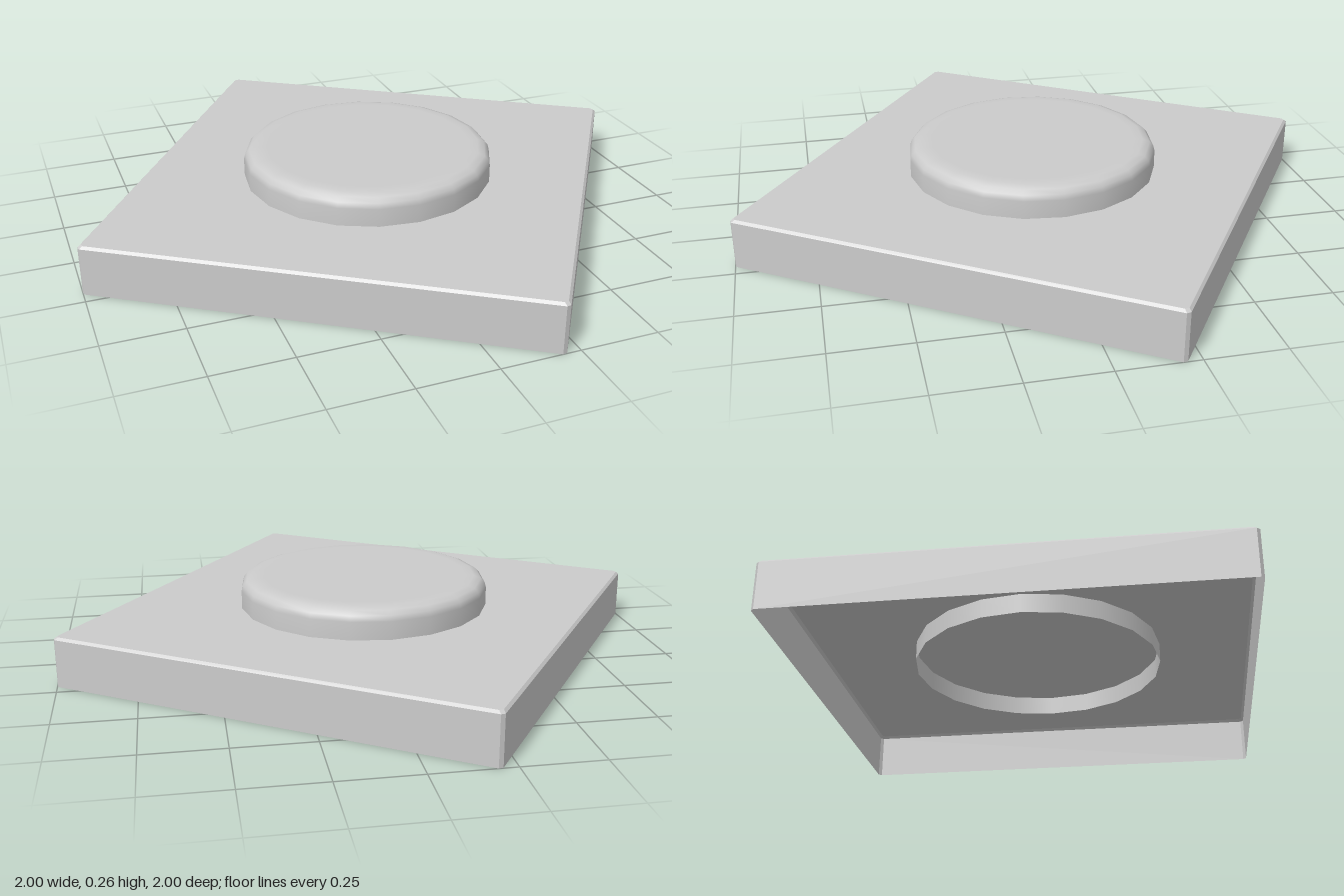
import * as THREE from 'three';

const material = new THREE.MeshStandardMaterial({ color: 0xcccccc, side: THREE.DoubleSide });
const flatMaterial = new THREE.MeshStandardMaterial({ color: 0xcccccc, side: THREE.DoubleSide, flatShading: true });
const TURN = -Math.atan2(0.8, 1.2);

// Square outline with slightly cut corners, running counter-clockwise seen from above
function outline(half, cut) {
  const points = [];
  for (let i = 0; i < 4; i++) {
    for (const [x, z] of [[half - cut, half], [half, half - cut]]) {
      const a = i * Math.PI / 2, c = Math.cos(a), s = Math.sin(a);
      points.push([x * c + z * s, z * c - x * s]);
    }
  }
  return points;
}

// Joins square cross-sections [half width, corner cut, height] into an open-bottomed shell
function shell(sections) {
  const positions = [], index = [], n = 8;
  sections.forEach(([half, cut, y], r) => {
    for (const [x, z] of outline(half, cut)) positions.push(x, y, z);
    if (r === 0) return;
    for (let i = 0; i < n; i++) {
      const a = (r - 1) * n + i, b = (r - 1) * n + (i + 1) % n;
      index.push(a, b, b + n, a, b + n, a + n);
    }
  });
  const geometry = new THREE.BufferGeometry();
  geometry.setAttribute('position', new THREE.Float32BufferAttribute(positions, 3));
  geometry.setIndex(index);
  const flat = geometry.toNonIndexed();
  flat.computeVertexNormals();
  return flat;
}

export function createModel() {
  const group = new THREE.Group();
  group.name = 'buttonPlate';

  // Hollow square base with a small bevel, closed on top
  const base = new THREE.Mesh(shell([
    [0.725, 0.01, 0],
    [0.725, 0.01, 0.155],
    [0.717, 0.01, 0.163],
    [0, 0, 0.163],
  ]), flatMaterial);
  base.name = 'base';
  base.rotation.y = TURN;
  group.add(base);

  // Round button with a soft rim; its open wall reaches through the base
  const profile = [
    [0.413, 0.1], [0.413, 0.16], [0.413, 0.222], [0.408, 0.24],
    [0.395, 0.254], [0.372, 0.262], [0.34, 0.262], [0, 0.262],
  ].map(([r, y]) => new THREE.Vector2(r, y));
  const button = new THREE.Mesh(new THREE.LatheGeometry(profile, 20), material);
  button.name = 'button';
  button.position.set(-0.008, 0, 0.008);
  button.rotation.y = TURN;
  group.add(button);

  return group;
}
